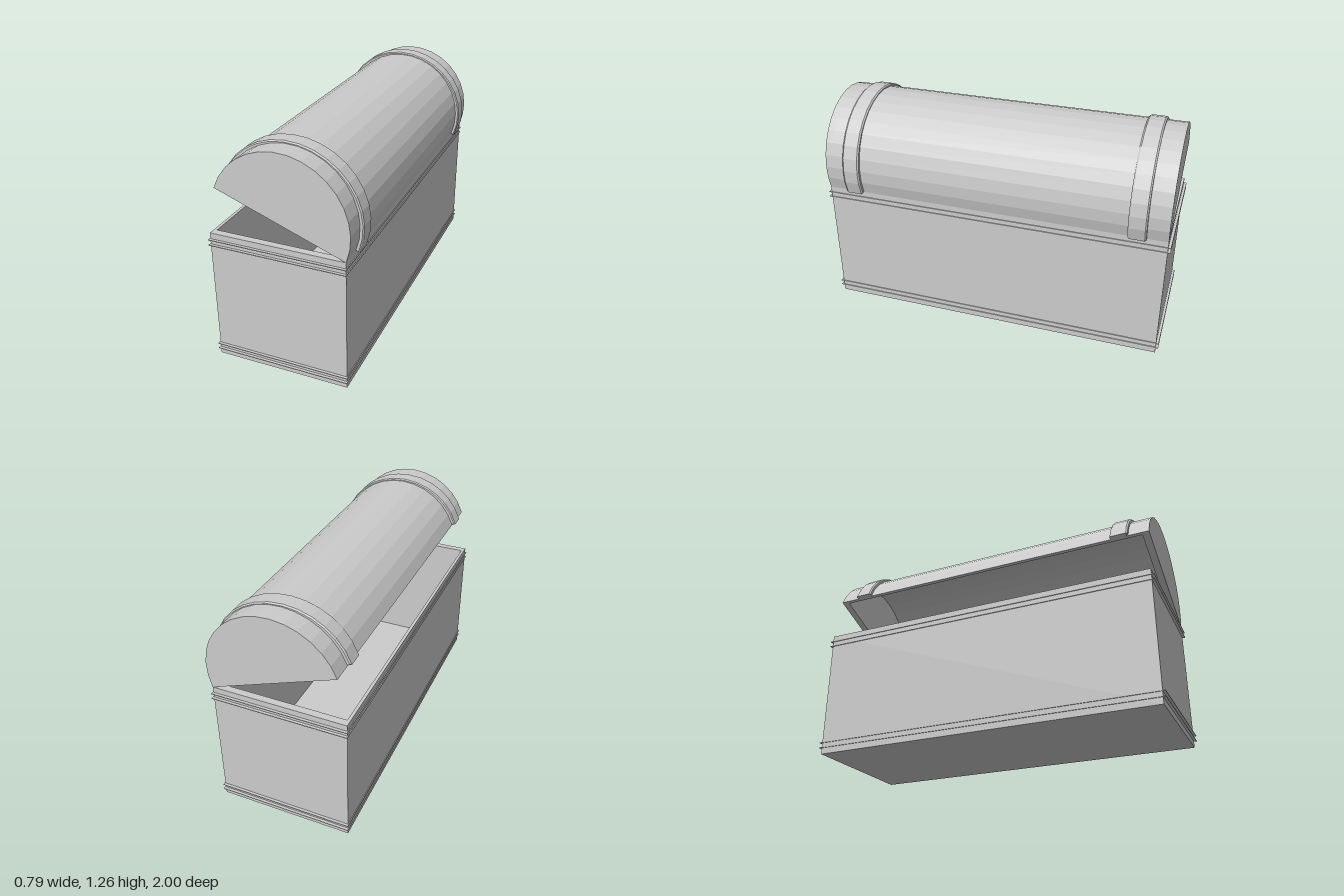
import * as THREE from 'three';

const material = new THREE.MeshStandardMaterial({ color: 0xcccccc, flatShading: true });
const HX = 0.372, HZ = 0.985;   // outer half sizes of the chest
const IX = 0.355, IZ = 0.945;   // inner half sizes
const HEIGHT = 0.745, FLOOR = 0.03;
const BOX_X = -0.02;

function add(parent, name, geometry) {
  const mesh = new THREE.Mesh(geometry, material);
  mesh.name = name;
  parent.add(mesh);
  return mesh;
}

function rect(path, x, z) {
  path.moveTo(-x, -z).lineTo(x, -z).lineTo(x, z).lineTo(-x, z).closePath();
  return path;
}

// Upright rectangular frame with an open middle
function frame(x, z, height, y) {
  const shape = rect(new THREE.Shape(), x, z);
  shape.holes.push(rect(new THREE.Path(), IX, IZ));
  const g = new THREE.ExtrudeGeometry(shape, { depth: height, bevelEnabled: false });
  return g.rotateX(-Math.PI / 2).translate(0, y, 0);
}

// Half ring, or half disc when no inner radii are given
function arch(ax, ay, bx, by) {
  const s = new THREE.Shape();
  s.moveTo(ax, 0).absellipse(0, 0, ax, ay, 0, Math.PI, false, 0);
  if (bx) s.lineTo(-bx, 0).absellipse(0, 0, bx, by, Math.PI, 0, true, 0);
  s.closePath();
  return s;
}

function extrude(shape, depth, z, bevel = {}) {
  const g = new THREE.ExtrudeGeometry(shape, { depth, curveSegments: 8, bevelEnabled: false, ...bevel });
  return g.translate(0, 0, z - depth / 2);
}

export function createModel() {
  const model = new THREE.Group();
  model.name = 'openChest';

  // Hollow base
  const base = new THREE.Group();
  base.name = 'base';
  base.position.x = BOX_X;
  model.add(base);
  add(base, 'walls', frame(HX, HZ, HEIGHT, 0));
  add(base, 'floor', new THREE.BoxGeometry(IX * 2, FLOOR, IZ * 2).translate(0, FLOOR / 2, 0));

  // Thin ridges around the base, in pairs near the bottom and the rim
  for (const y of [0.038, 0.068, 0.68, 0.71]) {
    add(base, 'trimRidge', frame(HX + 0.005, 1, 0.004, y - 0.002));
  }

  // Hollow arched lid, tilted open about its right edge
  const lid = new THREE.Group();
  lid.name = 'lid';
  lid.position.set(0.0035, 0.875, 0);
  lid.rotation.z = THREE.MathUtils.degToRad(-20.5);
  model.add(lid);
  add(lid, 'lidShell', extrude(arch(HX, HX, IX, IX), IZ * 2, 0));

  for (const side of [-1, 1]) {
    add(lid, 'lidEnd', extrude(arch(HX, HX), HZ - IZ, side * (HZ + IZ) / 2));
    // Raised strap with chamfered edges
    const bevel = { bevelEnabled: true, bevelSize: 0.006, bevelThickness: 0.008, bevelSegments: 1 };
    const strap = extrude(arch(0.386, 0.37, 0.366, 0.355), 0.084, side * 0.82, bevel);
    add(lid, 'lidStrap', strap.translate(0, 0.006, 0));
  }

  return model;
}
